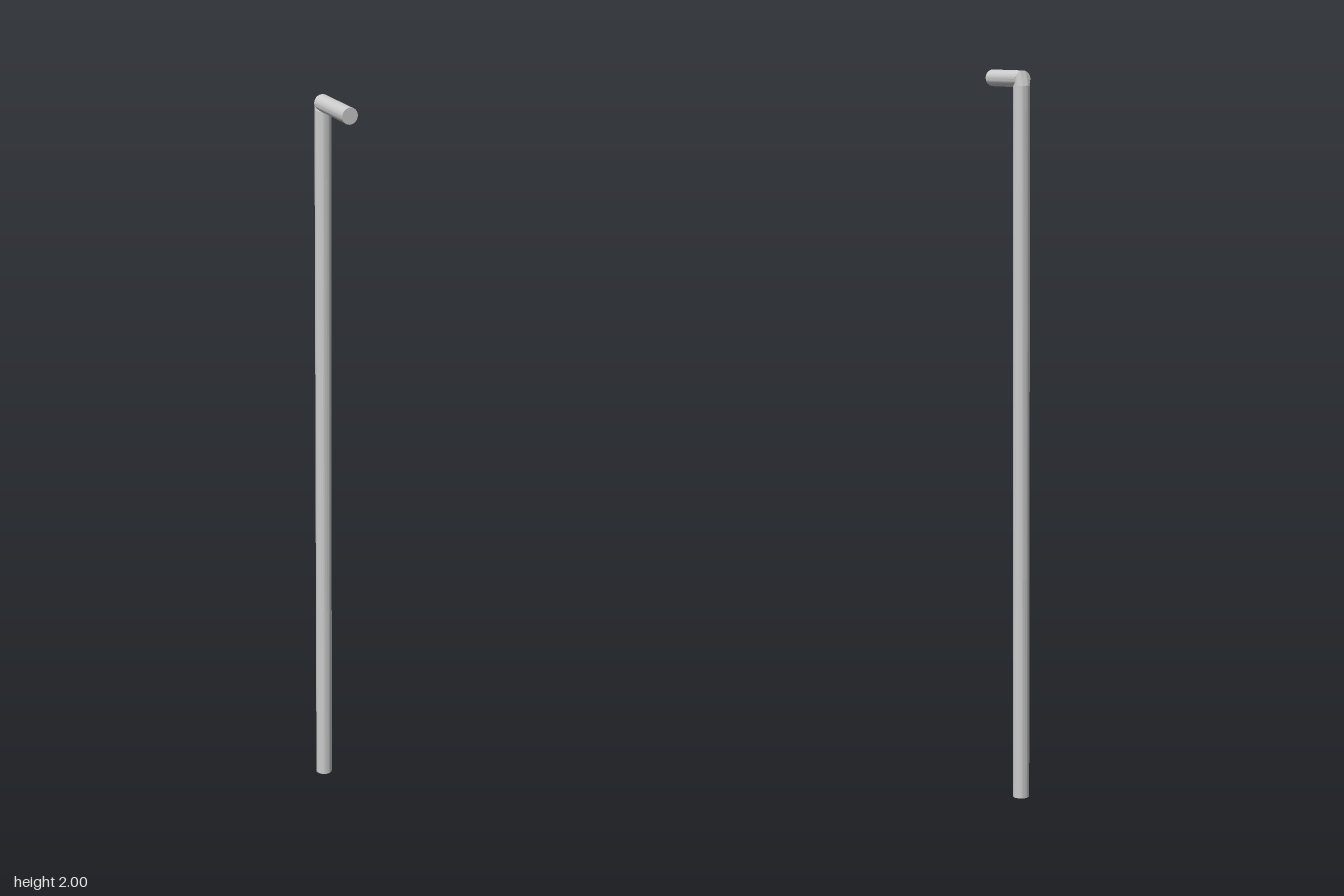
import * as THREE from 'three';
import { toCreasedNormals } from 'three/addons/utils/BufferGeometryUtils.js';

const R = 0.0225, SIDES = 24;

// Sweep of circular sections; each has a centre (y, z), a radius and the
// direction (uy, uz) that points to the outside of the bend.
function sweep(sections) {
  const pos = [];
  const point = ({ y, z, r, uy, uz }, j) => {
    const a = (j / SIDES) * Math.PI * 2, s = r * Math.sin(a);
    return [r * Math.cos(a), y + uy * s, z + uz * s];
  };
  for (let i = 0; i < sections.length - 1; i++) {
    const lo = sections[i], hi = sections[i + 1];
    for (let j = 0; j < SIDES; j++) {
      const a = point(lo, j), b = point(lo, j + 1), c = point(hi, j + 1), d = point(hi, j);
      if (lo.r > 0) pos.push(...a, ...b, ...d);
      if (hi.r > 0) pos.push(...b, ...c, ...d);
    }
  }
  const geo = new THREE.BufferGeometry();
  geo.setAttribute('position', new THREE.Float32BufferAttribute(pos, 3));
  return toCreasedNormals(geo, 0.5);
}

export function createModel() {
  const group = new THREE.Group();
  group.name = 'bentRod';
  const material = new THREE.MeshStandardMaterial({ color: 0xcccccc, side: THREE.DoubleSide });

  const post = (y, r = R) => ({ y, z: -0.07, r, uy: 0, uz: -1 });
  const arm = (z, r = R) => ({ y: 2 - R, z, r, uy: 1, uz: 0 });

  // Upright post with a closed foot, mitred elbow, short arm with a closed tip
  const parts = {
    post: [post(0, 0), post(0), post(1.96)],
    elbow: [post(1.96), arm(-0.077)],
    arm: [arm(-0.077), arm(0.0925), arm(0.0925, 0)],
  };
  for (const [name, sections] of Object.entries(parts)) {
    const mesh = new THREE.Mesh(sweep(sections), material);
    mesh.name = name;
    group.add(mesh);
  }
  return group;
}
